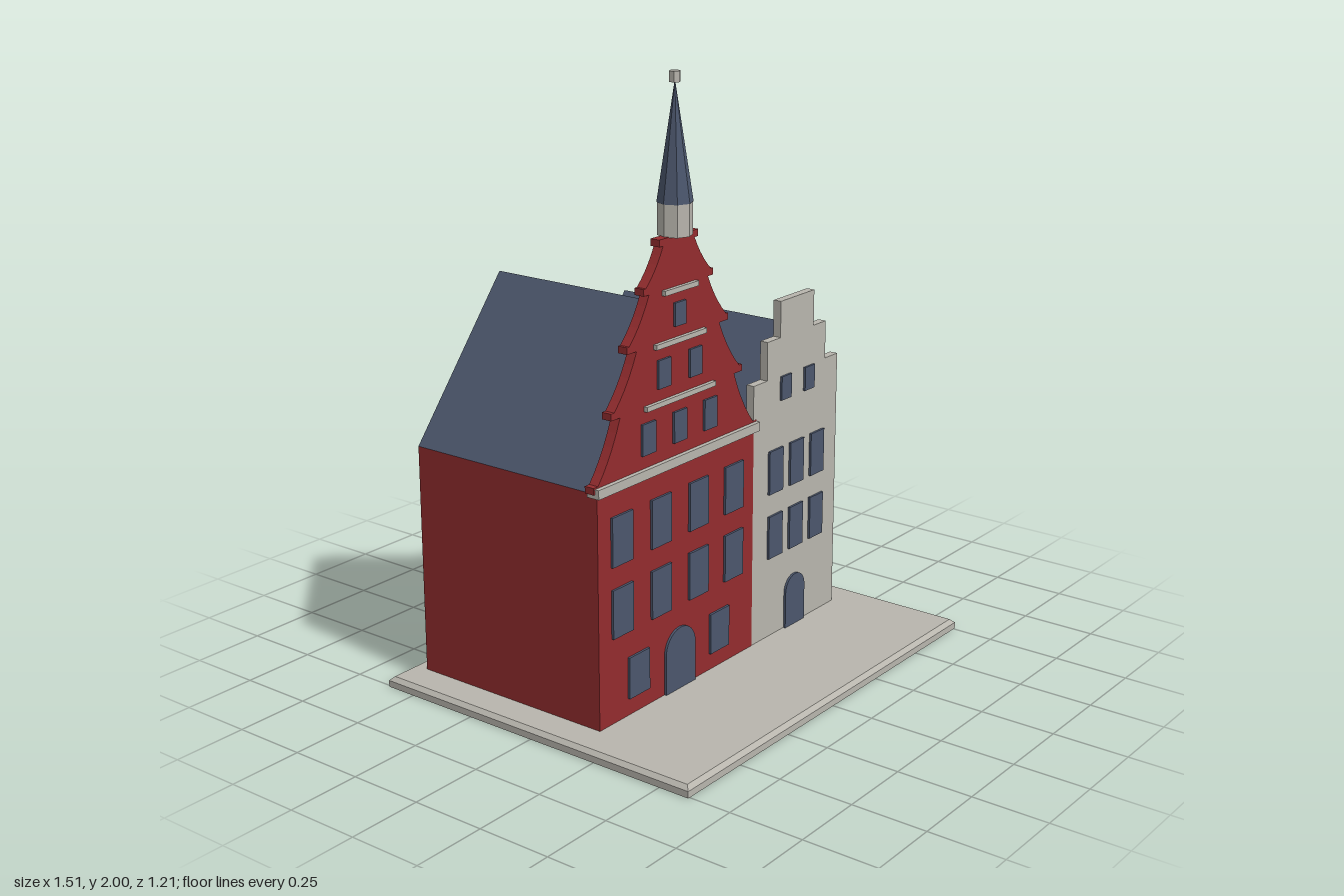
import * as THREE from 'three';

const stone = new THREE.MeshStandardMaterial({ color: 0xb8b5ad });
stone.name = 'stone';
const brick = new THREE.MeshStandardMaterial({ color: 0x932c2e });
brick.name = 'red brick';
const slate = new THREE.MeshStandardMaterial({ color: 0x4b566c });
slate.name = 'slate';

const GROUND = 0.035, EAVES = 0.8, BACK = -0.55, WALL = 0.15, FACE = 0.18;

function add(parent, name, geometry, material, x = 0, y = 0, z = 0) {
  const mesh = new THREE.Mesh(geometry, material);
  mesh.name = name;
  mesh.position.set(x, y, z);
  parent.add(mesh);
  return mesh;
}

// Box given by its limits
function block(parent, name, material, x0, x1, y0, y1, z0, z1) {
  return add(parent, name, new THREE.BoxGeometry(x1 - x0, y1 - y0, z1 - z0), material,
    (x0 + x1) / 2, (y0 + y1) / 2, (z0 + z1) / 2);
}

function extrude(points, depth) {
  const shape = new THREE.Shape(points.map(([x, y]) => new THREE.Vector2(x, y)));
  return new THREE.ExtrudeGeometry(shape, { depth, bevelEnabled: false });
}

// Outline symmetric about x = 0, from its right half listed bottom to top
const mirrored = (half) => [...half, ...half.slice().reverse().map(([x, y]) => [-x, y])];

// House volume: box walls, and a gable prism with slate slopes
function houseBody(parent, x0, x1, ridge, wall) {
  block(parent, 'walls', wall, x0, x1, GROUND, EAVES, BACK, WALL);
  const prism = extrude([[x0, EAVES], [x1, EAVES], [(x0 + x1) / 2, ridge]], WALL - BACK);
  add(parent, 'roof', prism, [wall, slate], 0, 0, BACK);
}

// Rows of windows as thin plates
function windows(parent, centres, width, y0, y1) {
  for (const x of centres)
    block(parent, 'window', slate, x - width / 2, x + width / 2, y0, y1, FACE, FACE + 0.008);
}

function door(parent, x, radius, spring) {
  const shape = new THREE.Shape();
  shape.moveTo(-radius, GROUND);
  shape.lineTo(radius, GROUND);
  shape.lineTo(radius, spring);
  shape.absarc(0, spring, radius, 0, Math.PI, false);
  shape.closePath();
  const geometry = new THREE.ExtrudeGeometry(shape, { depth: 0.008, bevelEnabled: false, curveSegments: 12 });
  add(parent, 'door', geometry, slate, x, 0, FACE);
}

function redHouse() {
  const house = new THREE.Group();
  house.name = 'redHouse';
  const cx = -0.245;
  houseBody(house, -0.64, 0.15, 1.29, brick);

  // Stepped gable: concave sweeps separated by small ledges
  const half = [[0.395, GROUND], [0.395, 0.803], [0.41, 0.803], [0.41, 0.825]];
  const tiers = [ // bottom half-width, y, top half-width, y, ledge half-width
    [0.39, 0.825, 0.285, 1.01, 0.327],
    [0.312, 1.032, 0.205, 1.195, 0.25],
    [0.24, 1.217, 0.145, 1.355, 0.17],
    [0.16, 1.377, 0.077, 1.49, 0.095],
  ];
  for (const [w0, y0, w1, y1, ledge] of tiers) {
    const sweep = new THREE.QuadraticBezierCurve(
      new THREE.Vector2(w0, y0),
      new THREE.Vector2(w0 + (w1 - w0) * 0.6, y0 + (y1 - y0) * 0.4),
      new THREE.Vector2(w1, y1));
    for (const p of sweep.getPoints(5)) half.push([p.x, p.y]);
    half.push([ledge, y1], [ledge, y1 + 0.022]);
  }
  add(house, 'facade', extrude(mirrored(half), FACE - WALL + 0.004), brick, cx, 0, WALL - 0.004);

  // Cornice and string courses
  block(house, 'cornice', stone, cx - 0.405, cx + 0.41, 0.79, 0.82, WALL, 0.195);
  for (const [w, y] of [[0.172, 1.008], [0.125, 1.19], [0.083, 1.348]])
    block(house, 'stringCourse', stone, cx - w, cx + w, y - 0.008, y + 0.008, FACE - 0.01, 0.193);

  const bays = [-0.53, -0.34, -0.149, 0.038];
  windows(house, bays, 0.098, 0.55, 0.71);
  windows(house, bays, 0.098, 0.318, 0.477);
  windows(house, [-0.453, -0.037], 0.1, 0.092, 0.23);
  windows(house, [-0.4, cx, -0.09], 0.064, 0.863, 0.963);
  windows(house, [-0.323, -0.168], 0.06, 1.055, 1.145);
  windows(house, [cx], 0.054, 1.233, 1.307);
  door(house, cx, 0.076, 0.168);

  // Turret with spire
  const turret = new THREE.Group();
  turret.name = 'turret';
  turret.position.set(cx, 0, 0.165);
  house.add(turret);
  const sided = (name, material, top, bottom, y0, y1, sides) => add(turret, name,
    new THREE.CylinderGeometry(top, bottom, y1 - y0, sides).toNonIndexed(), material, 0, (y0 + y1) / 2, 0)
    .geometry.computeVertexNormals();
  sided('turretDrum', stone, 0.054, 0.054, 1.51, 1.61, 8);
  sided('spire', slate, 0.001, 0.056, 1.61, 1.97, 8);
  sided('finial', stone, 0.018, 0.018, 1.967, 2.0, 6);
  return house;
}

function paleHouse() {
  const house = new THREE.Group();
  house.name = 'paleHouse';
  const cx = 0.3925;
  houseBody(house, 0.15, 0.635, 1.095, stone);
  const half = [[0.2425, GROUND], [0.2425, 0.94], [0.168, 0.94], [0.168, 1.07], [0.096, 1.07], [0.096, 1.192]];
  add(house, 'steppedFacade', extrude(mirrored(half), FACE - WALL - 0.001), stone, cx, 0, WALL);
  const bays = [0.273, cx, 0.513];
  windows(house, bays, 0.078, 0.545, 0.695);
  windows(house, bays, 0.078, 0.318, 0.467);
  windows(house, [0.325, 0.46], 0.056, 0.857, 0.938);
  door(house, cx, 0.056, 0.162);
  return house;
}

// Ground slab with a chamfered upper edge
function plinth(parent) {
  block(parent, 'slab', stone, -0.757, 0.757, 0, 0.022, -0.607, 0.607);
  const geometry = new THREE.BoxGeometry(1.514, 0.013, 1.214);
  const p = geometry.attributes.position;
  for (let i = 0; i < p.count; i++)
    if (p.getY(i) > 0) p.setXYZ(i, Math.sign(p.getX(i)) * 0.743, p.getY(i), Math.sign(p.getZ(i)) * 0.593);
  geometry.computeVertexNormals();
  add(parent, 'chamferedTop', geometry, stone, 0, 0.0285, 0);
}

export function createModel() {
  const model = new THREE.Group();
  model.name = 'gabledTownHouses';
  plinth(model);
  model.add(redHouse(), paleHouse());
  return model;
}
